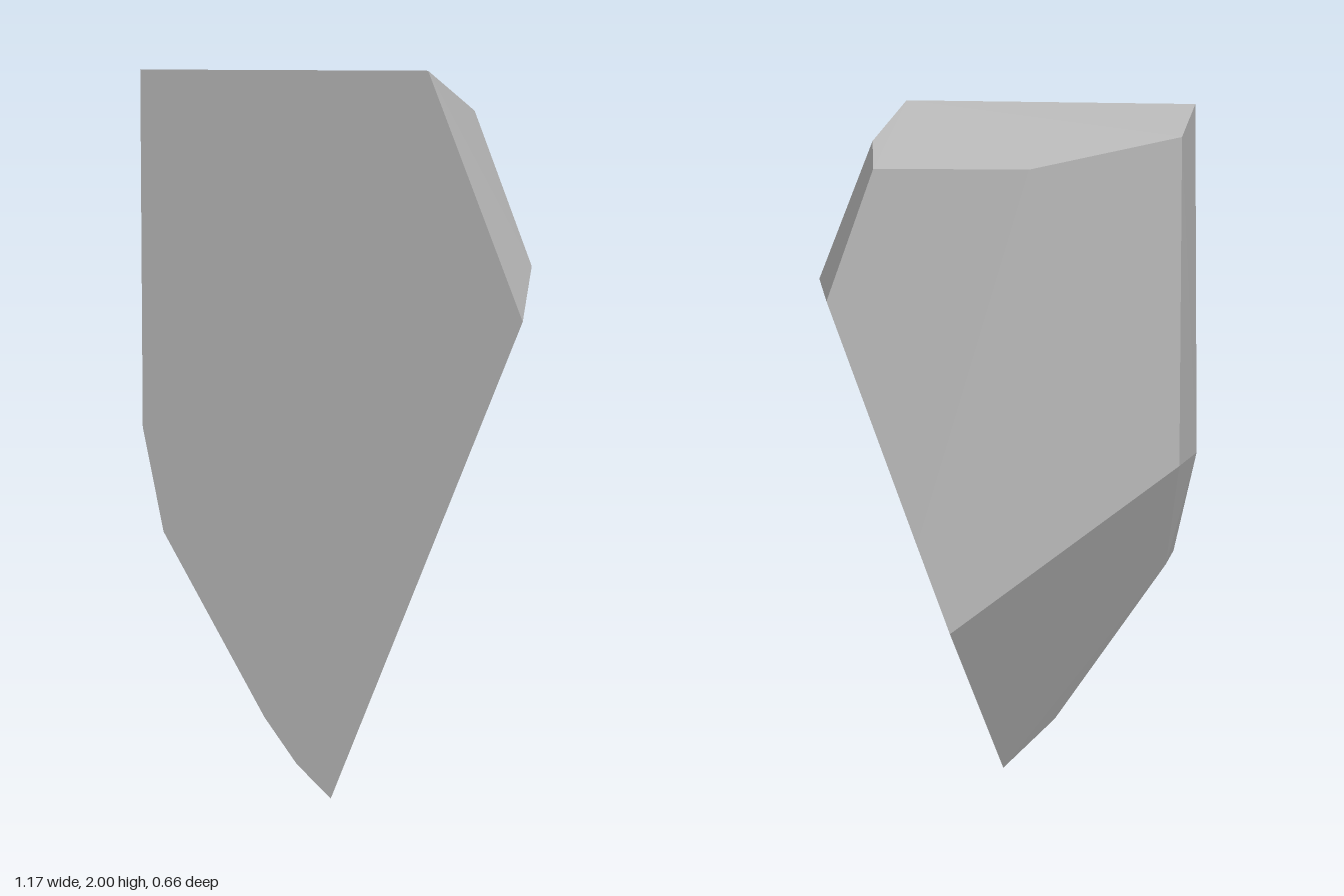
import * as THREE from 'three';
import { ConvexGeometry } from 'three/addons/geometries/ConvexGeometry.js';

export function createModel() {
  const group = new THREE.Group();
  group.name = 'rock';
  const stoneGrey = new THREE.MeshStandardMaterial({ color: 0xb8b8b8 });
  stoneGrey.name = 'stoneGrey';

  // Flat cut face at the front: outline in x, y
  const frontZ = 0.33;
  const front = [
    [0.03, 0], [0.585, 1.4], [0.32, 2], [-0.545, 1.99],
    [-0.576, 1.0], [-0.515, 0.7], [-0.185, 0.2], [-0.08, 0.08],
  ].map(([x, y]) => [x, y, frontZ]);

  // Rim of the sloping top
  const top = [
    [0.305, 1.889, 0.03], [0.225, 1.82, -0.16],
    [-0.21, 1.823, -0.145], [-0.565, 1.905, 0.08],
  ];

  // Corners of the right shoulder and the back
  const back = [
    [0.485, 1.495, 0.05], [0.34, 1.465, -0.225],
    [0.04, 0.83, -0.33], [-0.04, 0.58, -0.293], [-0.585, 1.015, 0.06],
  ];

  // Corners of the tapering underside
  const base = [[-0.52, 0.69, 0.21], [-0.2, 0.19, 0.18], [-0.06, 0.04, 0.115]];

  // The stone is the convex solid around all its corners
  const corners = [...front, ...top, ...back, ...base].map((p) => new THREE.Vector3(...p));
  const stone = new THREE.Mesh(new ConvexGeometry(corners), stoneGrey);
  stone.name = 'stone';
  group.add(stone);
  return group;
}
